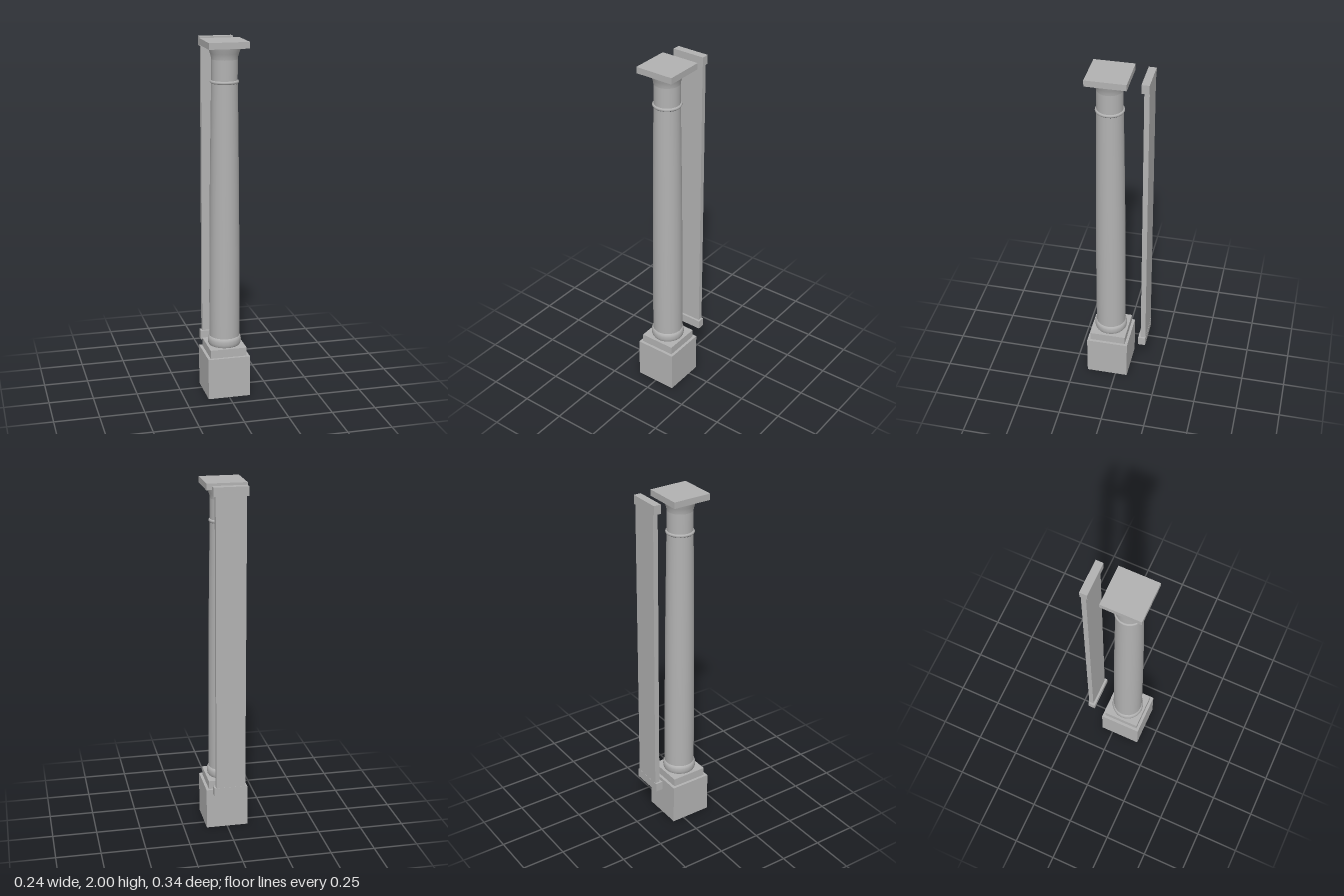
import * as THREE from 'three';

export function createModel() {
  const model = new THREE.Group();
  model.name = 'columnWithPilaster';
  const stone = new THREE.MeshStandardMaterial({ color: 0xb2b2b2 });
  stone.name = 'grey stone';

  const add = (parent, name, geometry, x, y, z) => {
    const mesh = new THREE.Mesh(geometry, stone);
    mesh.name = name;
    mesh.position.set(x, y, z);
    parent.add(mesh);
  };
  // Block between two heights and two depths, centred on x
  const block = (parent, name, halfWidth, y0, y1, z0, z1) =>
    add(parent, name, new THREE.BoxGeometry(2 * halfWidth, y1 - y0, z1 - z0), 0, (y0 + y1) / 2, (z0 + z1) / 2);
  // Turned piece from [radius, height] pairs, bottom to top
  const turned = (parent, name, profile) =>
    add(parent, name, new THREE.LatheGeometry(profile.map(([r, y]) => new THREE.Vector2(r, y)), 24), 0, 0, 0);

  // Free-standing column
  const column = new THREE.Group();
  column.name = 'column';
  column.position.z = 0.05;
  model.add(column);
  block(column, 'pedestal', 0.12, 0, 0.237, -0.12, 0.12);
  block(column, 'plinth', 0.104, 0.237, 0.285, -0.104, 0.104);
  turned(column, 'baseMoulding', [
    [0.088, 0.285], [0.0925, 0.293], [0.094, 0.305], [0.094, 0.318], [0.092, 0.328], [0.087, 0.336], [0.083, 0.338],
  ]);

  // Shaft tapers with a slight swelling
  turned(column, 'shaft', [
    [0.085, 0.335], [0.085, 0.56], [0.0835, 0.85], [0.081, 1.15], [0.077, 1.45], [0.072, 1.77],
  ]);
  const ring = new THREE.TorusGeometry(0.07, 0.009, 8, 24);
  ring.rotateX(Math.PI / 2);
  add(column, 'neckRing', ring, 0, 1.78, 0);
  turned(column, 'neck', [[0.071, 1.77], [0.071, 1.9]]);
  turned(column, 'flaredCapital', [
    [0.071, 1.9], [0.073, 1.915], [0.078, 1.932], [0.085, 1.95], [0.089, 1.965],
  ]);
  block(column, 'abacus', 0.111, 1.965, 2, -0.111, 0.111);

  // Flat pilaster standing behind the column
  const pilaster = new THREE.Group();
  pilaster.name = 'pilaster';
  model.add(pilaster);
  block(pilaster, 'pilasterBase', 0.094, 0.243, 0.295, -0.174, -0.132);
  block(pilaster, 'pilasterShaft', 0.083, 0.295, 1.95, -0.173, -0.145);
  block(pilaster, 'pilasterCap', 0.094, 1.95, 2, -0.174, -0.132);

  return model;
}
